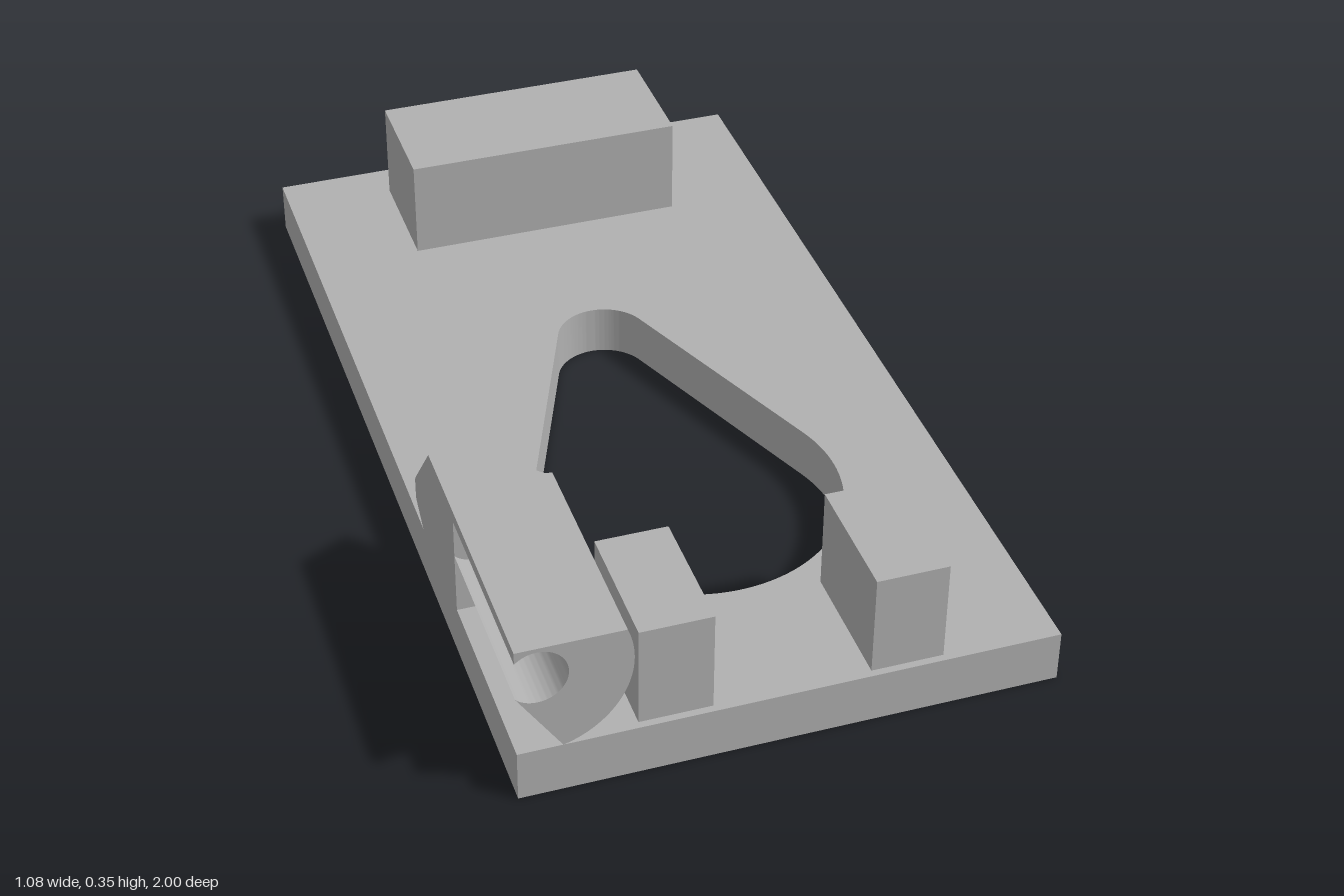
import * as THREE from 'three';
import { toCreasedNormals } from 'three/addons/utils/BufferGeometryUtils.js';

const W = 0.54, PLATE = 0.11, CLIP_TOP = 0.355;
const AXIS = { x: -0.498, y: 0.287, r: 0.183, bore: 0.0595 };
const A0 = Math.asin((PLATE - AXIS.y) / AXIS.r);
const A1 = Math.asin((CLIP_TOP - AXIS.y) / AXIS.r);
const SPLIT = 0.58; // blind end of the bore

function extrude(shape, depth) {
  const g = new THREE.ExtrudeGeometry(shape, { depth, bevelEnabled: false, curveSegments: 40 });
  return toCreasedNormals(g, 0.5);
}

// Flat plate with a teardrop opening
function plateGeometry() {
  const shape = new THREE.Shape();
  shape.moveTo(-W, -1).lineTo(W, -1).lineTo(W, 1).lineTo(-W, 1).closePath();
  const small = { y: 0.2, r: 0.1 }, big = { y: -0.375, r: 0.315 };
  const phi = Math.asin((big.r - small.r) / (small.y - big.y));
  const hole = new THREE.Path();
  hole.absarc(0, small.y, small.r, phi, Math.PI - phi, false);
  hole.absarc(0, big.y, big.r, Math.PI - phi, 2 * Math.PI + phi, false);
  hole.closePath();
  shape.holes.push(hole);
  return extrude(shape, PLATE).rotateX(-Math.PI / 2);
}

// Rounded clip with a bore that breaks out through the outer side
function clipGeometry() {
  const b = Math.acos((-W - AXIS.x) / AXIS.bore);
  const s = new THREE.Shape();
  s.moveTo(-W, PLATE);
  s.absarc(AXIS.x, AXIS.y, AXIS.r, A0, A1, false);
  s.lineTo(-W, CLIP_TOP);
  s.absarc(AXIS.x, AXIS.y, AXIS.bore, b, -b, true);
  s.closePath();
  return extrude(s, 1 - SPLIT).translate(0, 0, SPLIT);
}

// Solid rear of the clip: a box bent to the clip profile with a tapering end
function clipNoseGeometry() {
  const g = new THREE.BoxGeometry(1, 1, 1, 16, 32, 1);
  const p = g.attributes.position;
  for (let i = 0; i < p.count; i++) {
    const a = A0 + (A1 - A0) * (p.getY(i) + 0.5);
    const y = AXIS.y + AXIS.r * Math.sin(a);
    const right = AXIS.x + AXIS.r * Math.cos(a);
    const x = -W + (right + W) * (p.getX(i) + 0.5);
    const rise = Math.hypot(1.09 * (x + W), 0.84 * Math.max(0, y - 0.2), 1.3 * Math.max(0, 0.15 - y));
    p.setXYZ(i, x, y, p.getZ(i) > 0 ? SPLIT : 0.27 + Math.min(0.255, rise));
  }
  g.computeVertexNormals();
  return g;
}

export function createModel() {
  const model = new THREE.Group();
  model.name = 'slottedPlate';
  const grey = new THREE.MeshStandardMaterial({ color: 0xb0b0b0 });
  grey.name = 'grey';

  const add = (name, geometry) => {
    const mesh = new THREE.Mesh(geometry, grey);
    mesh.name = name;
    model.add(mesh);
    return mesh;
  };
  const block = (name, x, z, w, d) =>
    add(name, new THREE.BoxGeometry(w, 0.218, d)).position.set(x, PLATE + 0.109, z);

  add('basePlate', plateGeometry());
  add('clip', clipGeometry());
  add('clipNose', clipNoseGeometry());

  // Upright blocks
  block('rearBlock', 0, -0.778, 0.608, 0.266);
  block('frontBlockLeft', 0.23, 0.85, 0.146, 0.27);
  block('frontBlockRight', -0.23, 0.85, 0.146, 0.27);
  return model;
}
